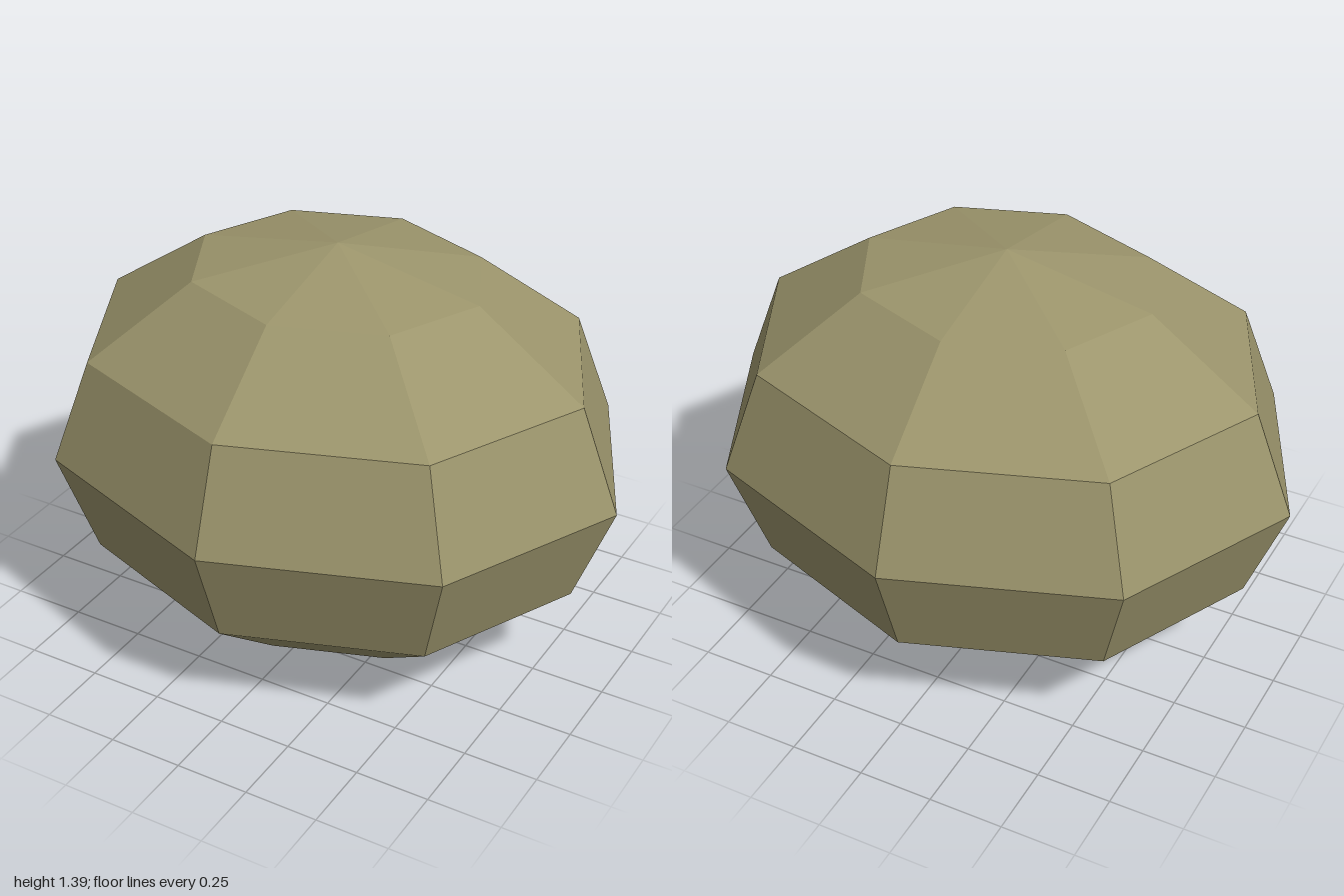
import * as THREE from 'three';

export function createModel() {
  const group = new THREE.Group();
  group.name = 'boulder';

  const stone = new THREE.MeshStandardMaterial({ color: 0x9c956c, flatShading: true });
  stone.name = 'olive stone';

  // Low-poly ball, eight sides by six bands, squashed into a boulder
  const half = { x: 1, y: 0.695, z: 0.86 };
  const geometry = new THREE.SphereGeometry(1, 8, 6);
  geometry.scale(half.x, half.y, half.z);
  geometry.translate(0, half.y, 0);

  const rock = new THREE.Mesh(geometry, stone);
  rock.name = 'rock';
  group.add(rock);
  return group;
}
